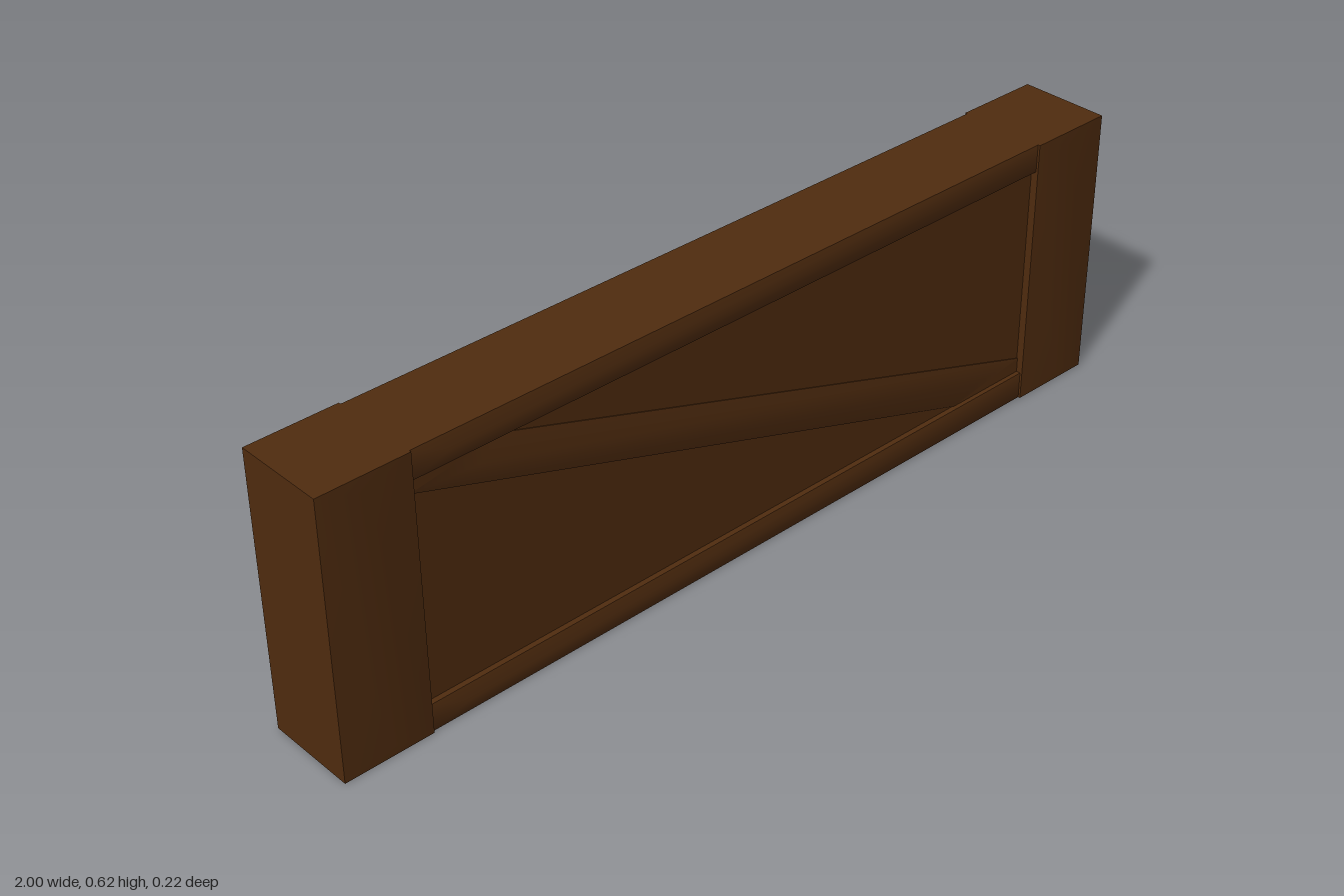
import * as THREE from 'three';

const H = 0.615;      // overall height
const RAIL = 0.062;   // rail height
const INNER = 0.802;  // inner edge of the end posts
const PANEL_Z = 0.085;

// A plank with a softly crowned face: corners run counter-clockwise,
// ridge p lies between corners d and a, ridge q between b and c.
function plank(corners, p, q, edgeZ, ridgeZ, bothFaces) {
  const pos = [], index = [];
  const face = (s) => {
    const o = pos.length / 3;
    corners.forEach(([x, y]) => pos.push(x, y, s * edgeZ));
    [p, q].forEach(([x, y]) => pos.push(x, y, s * ridgeZ));
    const tris = [[0, 1, 5], [0, 5, 4], [1, 2, 5], [2, 3, 4], [2, 4, 5], [3, 0, 4]];
    for (const [i, j, k] of tris) {
      if (s > 0) index.push(o + i, o + j, o + k);
      else index.push(o + i, o + k, o + j);
    }
  };
  face(1);
  if (bothFaces) face(-1);
  // side walls, with their own vertices so the edges stay sharp
  const backZ = bothFaces ? -edgeZ : 0;
  for (let i = 0; i < 4; i++) {
    const [x0, y0] = corners[i], [x1, y1] = corners[(i + 1) % 4];
    const o = pos.length / 3;
    pos.push(x0, y0, backZ, x1, y1, backZ, x1, y1, edgeZ, x0, y0, edgeZ);
    index.push(o, o + 1, o + 2, o, o + 2, o + 3);
  }
  const geo = new THREE.BufferGeometry();
  geo.setAttribute('position', new THREE.Float32BufferAttribute(pos, 3));
  geo.setIndex(index);
  geo.computeVertexNormals();
  return geo;
}

export function createModel() {
  const group = new THREE.Group();
  const wood = new THREE.MeshStandardMaterial({ color: 0x502c0f });
  wood.name = 'darkWood';
  const add = (name, geo) => {
    const mesh = new THREE.Mesh(geo, wood);
    mesh.name = name;
    group.add(mesh);
    return mesh;
  };

  // recessed centre panel
  add('panel', new THREE.BoxGeometry(2 * INNER + 0.02, H - RAIL, 2 * PANEL_Z)).position.y = H / 2;

  // wide end posts, crowned along their height
  for (const [name, x0, x1] of [['leftPost', INNER, 1], ['rightPost', -1, -INNER]]) {
    const mid = (x0 + x1) / 2;
    add(name, plank([[x1, 0], [x1, H], [x0, H], [x0, 0]],
      [mid, 0.03], [mid, H - 0.03], 0.102, 0.11, true));
  }

  // narrow top and bottom rails
  for (const [name, y0] of [['bottomRail', 0], ['topRail', H - RAIL]]) {
    const y1 = y0 + RAIL, mid = (y0 + y1) / 2;
    add(name, plank([[-INNER, y0], [INNER, y0], [INNER, y1], [-INNER, y1]],
      [-0.72, mid], [0.72, mid], 0.097, 0.104, true));
  }

  // diagonal brace across the front panel, its ends tucked into the corners
  const top = H - RAIL, drop = 0.033;
  const cornersUpper = [[-INNER, top - drop], [0.6, RAIL], [INNER, RAIL + drop], [-0.6, top]];
  add('diagonalBrace', plank(cornersUpper, [-0.66, top - 0.035], [0.66, RAIL + 0.035],
    0.087, 0.096, false));
  // brace ends filling the two corners
  for (const s of [-1, 1]) {
    const cy = H / 2, h = cy - RAIL;
    const shape = new THREE.Shape([[s * INNER, cy - s * h], [s * INNER, cy - s * (h - drop)],
      [s * 0.6, cy - s * h]].map(([x, y]) => new THREE.Vector2(x, y)));
    add('braceEnd', new THREE.ExtrudeGeometry(shape, { depth: 0.087, bevelEnabled: false }));
  }
  return group;
}
